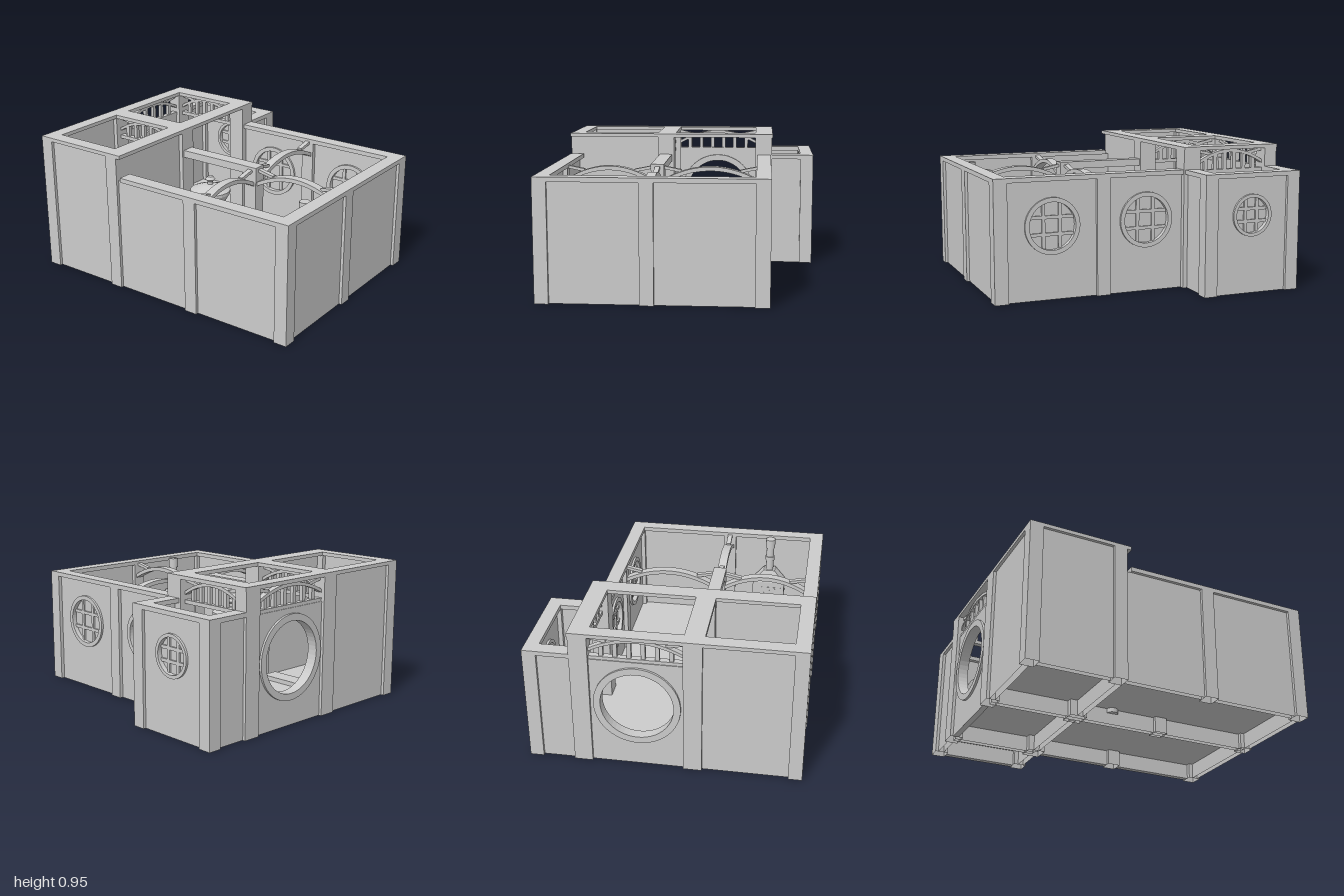
import * as THREE from 'three';

const mat = new THREE.MeshStandardMaterial({ color: 0xcccccc, flatShading: true });
const hollow = new THREE.MeshStandardMaterial({ color: 0xcccccc, flatShading: true, side: THREE.DoubleSide });
const smooth = new THREE.MeshStandardMaterial({ color: 0xcccccc });

function add(parent, name, geo, x = 0, y = 0, z = 0, m = mat) {
  const mesh = new THREE.Mesh(geo, m);
  mesh.name = name;
  mesh.position.set(x, y, z);
  parent.add(mesh);
  return mesh;
}

// Box given by its limits on each axis
function box(parent, name, x0, x1, y0, y1, z0, z1) {
  return add(parent, name, new THREE.BoxGeometry(x1 - x0, y1 - y0, z1 - z0),
    (x0 + x1) / 2, (y0 + y1) / 2, (z0 + z1) / 2);
}

// Hollow box standing on the ground, open underneath
function standing(parent, name, x0, x1, height, z0, z1) {
  const mesh = box(parent, name, x0, x1, 0, height, z0, z1);
  const index = Array.from(mesh.geometry.index.array);
  index.splice(18, 6);
  mesh.geometry.setIndex(index);
  mesh.geometry.clearGroups();
  mesh.material = hollow;
}

// Extrusion centred on z = 0
function extrude(shape, depth) {
  const g = new THREE.ExtrudeGeometry(shape, { depth, bevelEnabled: false, curveSegments: 24 });
  return g.translate(0, 0, -depth / 2);
}

// A group facing z, or turned to run along z
function place(parent, name, x, z, alongZ = false) {
  const g = new THREE.Group();
  g.name = name;
  g.position.set(x, 0, z);
  if (alongZ) g.rotation.y = Math.PI / 2;
  parent.add(g);
  return g;
}

function ringShape(outer, inner) {
  const s = new THREE.Shape();
  s.absarc(0, 0, outer, 0, Math.PI * 2, false);
  const h = new THREE.Path();
  h.absarc(0, 0, inner, 0, Math.PI * 2, true);
  s.holes.push(h);
  return s;
}

// Wall panel with a round opening, a raised ring and an optional latticed pane
function roundPanel(parent, name, x, z, alongZ, width, height, cy, r, lattice) {
  const g = place(parent, name, x, z, alongZ);
  const s = new THREE.Shape();
  s.moveTo(-width / 2, 0);
  s.lineTo(width / 2, 0);
  s.lineTo(width / 2, height);
  s.lineTo(-width / 2, height);
  s.closePath();
  const hole = new THREE.Path();
  hole.absarc(0, cy, r * 0.88, 0, Math.PI * 2, true);
  s.holes.push(hole);
  add(g, 'wallPanel', extrude(s, 0.04));
  add(g, 'openingRing', extrude(ringShape(r, r * 0.84), 0.07), 0, cy, 0);
  if (!lattice) return;
  const pane = new THREE.CylinderGeometry(r * 0.86, r * 0.86, 0.006, 32).rotateX(Math.PI / 2);
  add(g, 'pane', pane, 0, cy, 0);
  for (const k of [-0.3, 0.3]) {
    const len = 2 * Math.sqrt(0.72 - k * k) * r;
    add(g, 'latticeUpright', new THREE.BoxGeometry(0.022, len, 0.03), k * r, cy, 0);
    add(g, 'latticeBar', new THREE.BoxGeometry(len, 0.022, 0.03), 0, cy + k * r, 0);
  }
}

// Shallow arch: underside springs at yEnd and rises to the crown
function archGeometry(width, yEnd, rise, thick, depth) {
  const s = new THREE.Shape(), n = 24, h = width / 2;
  const y = u => yEnd + rise * (1 - u * u);
  for (let i = 0; i <= n; i++) {
    const u = -1 + 2 * i / n;
    if (i) s.lineTo(u * h, y(u)); else s.moveTo(u * h, y(u));
  }
  for (let i = n; i >= 0; i--) {
    const u = -1 + 2 * i / n;
    s.lineTo(u * h, y(u) + thick);
  }
  s.closePath();
  return extrude(s, depth);
}

// Arch with a drooping brace in each upper corner
function bracedArch(g, width, yEnd, rise, thick, depth) {
  const h = width / 2, top = yEnd + rise + thick;
  add(g, 'arch', archGeometry(width, yEnd, rise, thick, depth));
  for (const s of [-1, 1]) {
    const b = add(g, 'cornerBrace', new THREE.BoxGeometry(0.115, 0.02, depth * 0.55),
      s * (h - 0.057), top - 0.02, 0);
    b.rotation.z = s * 0.2;
  }
}

// Braced arch filled with balusters
function screen(parent, x, z, alongZ, width) {
  const g = place(parent, 'archedScreen', x, z, alongZ);
  const h = width / 2;
  bracedArch(g, width, 0.82, 0.08, 0.022, 0.04);
  add(g, 'screenRail', new THREE.BoxGeometry(width, 0.025, 0.04), 0, 0.775, 0);
  for (let i = 0; i < 6; i++) {
    const u = (i - 2.5) * 0.295, top = 0.825 + 0.08 * (1 - u * u);
    add(g, 'baluster', new THREE.BoxGeometry(0.027, top - 0.77, 0.026), u * h, (top + 0.77) / 2, 0);
  }
}

export function createModel() {
  const house = new THREE.Group();
  house.name = 'rooflessHouse';

  // Posts: x0, x1, z0, z1, height
  const posts = [
    [0.91, 1, 0.8, 0.89, 0.8], [0.22, 0.31, 0.8, 0.89, 0.8],
    [0.91, 1, 0.14, 0.23, 0.8], [0.22, 0.31, 0.14, 0.23, 0.8],
    [0.91, 1, -0.58, -0.485, 0.8], [0.22, 0.31, -0.58, -0.485, 0.8],
    [-1, -0.91, 0.8, 0.89, 0.95], [-0.42, -0.33, 0.8, 0.89, 0.95],
    [-1, -0.91, 0.125, 0.245, 0.95], [-0.42, -0.3, 0.125, 0.245, 0.95],
    [-1, -0.91, -0.59, -0.47, 0.95], [-0.42, -0.3, -0.59, -0.47, 0.95],
    [-1, -0.91, -0.89, -0.8, 0.8], [-0.4, -0.31, -0.89, -0.8, 0.8],
  ];
  for (const [x0, x1, z0, z1, h] of posts) standing(house, 'post', x0, x1, h, z0, z1);

  // Top beams of the low rooms and the back annex
  const low = [
    [-0.3, 1, 0.795, 0.89], [0.905, 1, -0.58, 0.795], [-0.3, 0.905, -0.58, -0.485],
    [-1, -0.31, -0.89, -0.8], [-1, -0.905, -0.8, -0.59], [-0.405, -0.31, -0.8, -0.59],
  ];
  for (const [x0, x1, z0, z1] of low) box(house, 'lowBeam', x0, x1, 0.77, 0.8, z0, z1);
  box(house, 'dividerBeam', -0.3, 0.31, 0.75, 0.8, 0.14, 0.23);

  // Top beams of the tall wing
  const tall = [
    [-1, -0.905, -0.595, 0.89], [-0.42, -0.3, -0.595, 0.89], [-0.905, -0.42, 0.795, 0.89],
    [-0.905, -0.42, 0.12, 0.25], [-0.905, -0.42, -0.595, -0.47],
  ];
  for (const [x0, x1, z0, z1] of tall) box(house, 'tallBeam', x0, x1, 0.925, 0.95, z0, z1);

  // Plain recessed wall panels
  const panels = [
    [-0.91, -0.42, 0.925, 0.83, 0.87], [-0.33, 0.22, 0.77, 0.83, 0.87], [0.31, 0.91, 0.77, 0.83, 0.87],
    [0.94, 0.98, 0.77, 0.23, 0.8], [0.94, 0.98, 0.77, -0.485, 0.14],
    [-0.98, -0.94, 0.925, 0.245, 0.8], [-0.37, -0.33, 0.925, 0.245, 0.8],
    [-0.98, -0.94, 0.77, -0.8, -0.59], [-0.37, -0.33, 0.77, -0.8, -0.59],
  ];
  for (const [x0, x1, h, z0, z1] of panels) standing(house, 'wallPanel', x0, x1, h, z0, z1);

  // Round windows and the moon gate
  roundPanel(house, 'backWindow', 0.61, -0.535, false, 0.6, 0.77, 0.48, 0.185, true);
  roundPanel(house, 'backWindow', -0.04, -0.535, false, 0.52, 0.77, 0.48, 0.185, true);
  roundPanel(house, 'annexWindow', -0.655, -0.85, false, 0.51, 0.77, 0.52, 0.14, true);
  roundPanel(house, 'moonGate', -0.96, -0.17, true, 0.6, 0.765, 0.45, 0.28, false);

  // Screens around the middle bay of the tall wing
  screen(house, -0.955, -0.17, true, 0.6);
  screen(house, -0.665, -0.53, false, 0.49);
  screen(house, -0.665, 0.185, false, 0.49);

  // Arches meeting at the central post
  const arches = [[0.61, 0.185, false, 0.6], [0.265, -0.175, true, 0.63], [0.265, 0.515, true, 0.57]];
  for (const [x, z, alongZ, w] of arches) {
    bracedArch(place(house, 'roomArch', x, z, alongZ), w, 0.67, 0.085, 0.028, 0.06);
  }

  // Raised floors, sills and steps
  const floors = [
    [-0.35, 0.94, 0.205, 0.83], [-0.35, 0.94, -0.515, 0.165],
    [-0.94, -0.37, 0.205, 0.83], [-0.94, -0.37, -0.51, 0.165], [-0.94, -0.37, -0.83, -0.55],
  ];
  for (const [x0, x1, z0, z1] of floors) box(house, 'floor', x0, x1, 0.11, 0.12, z0, z1);
  standing(house, 'sill', -0.95, 0.95, 0.12, 0.165, 0.205);
  standing(house, 'sill', -0.95, -0.36, 0.12, -0.55, -0.51);
  standing(house, 'sill', -0.38, -0.34, 0.12, -0.5, 0.15);
  box(house, 'step', 0.31, 0.91, 0.11, 0.15, 0.15, 0.275);
  box(house, 'step', -0.91, -0.42, 0.11, 0.15, 0.19, 0.31);

  // Round pedestal with a conical lid and knob
  const profile = [[0, 0.08], [0.04, 0.08], [0.04, 0.4], [0.1, 0.46], [0.14, 0.53], [0.14, 0.55],
    [0.05, 0.585], [0.02, 0.59], [0.02, 0.61], [0.035, 0.625], [0.02, 0.645], [0, 0.645]];
  add(house, 'lampStand', new THREE.LatheGeometry(profile.map(p => new THREE.Vector2(...p)), 20), -0.095, 0, 0.2);

  // Stove: body, tapered hood, door and flue
  const stove = new THREE.Group();
  stove.name = 'stove';
  house.add(stove);
  box(stove, 'stoveBody', 0.8, 0.91, 0.12, 0.45, 0.38, 0.62);
  const hood = new THREE.BoxGeometry(0.11, 0.09, 0.24);
  const p = hood.attributes.position;
  for (let i = 0; i < p.count; i++) {
    if (p.getY(i) > 0) {
      p.setZ(i, p.getZ(i) * 0.35);
      if (p.getX(i) < 0) p.setX(i, -0.025);
    }
  }
  hood.computeVertexNormals();
  add(stove, 'stoveHood', hood, 0.855, 0.495, 0.5);
  box(stove, 'stoveDoor', 0.775, 0.8, 0.17, 0.28, 0.46, 0.54);
  for (let i = -2; i <= 2; i++) {
    box(stove, 'stoveSlat', 0.797, 0.8, 0.31, 0.41, 0.49 + i * 0.042, 0.51 + i * 0.042);
  }
  for (const [r, y0, y1] of [[0.028, 0.53, 0.78], [0.035, 0.62, 0.65], [0.035, 0.72, 0.79]]) {
    add(stove, 'flue', new THREE.CylinderGeometry(r, r, y1 - y0, 16), 0.865, (y0 + y1) / 2, 0.5, smooth);
  }
  return house;
}
